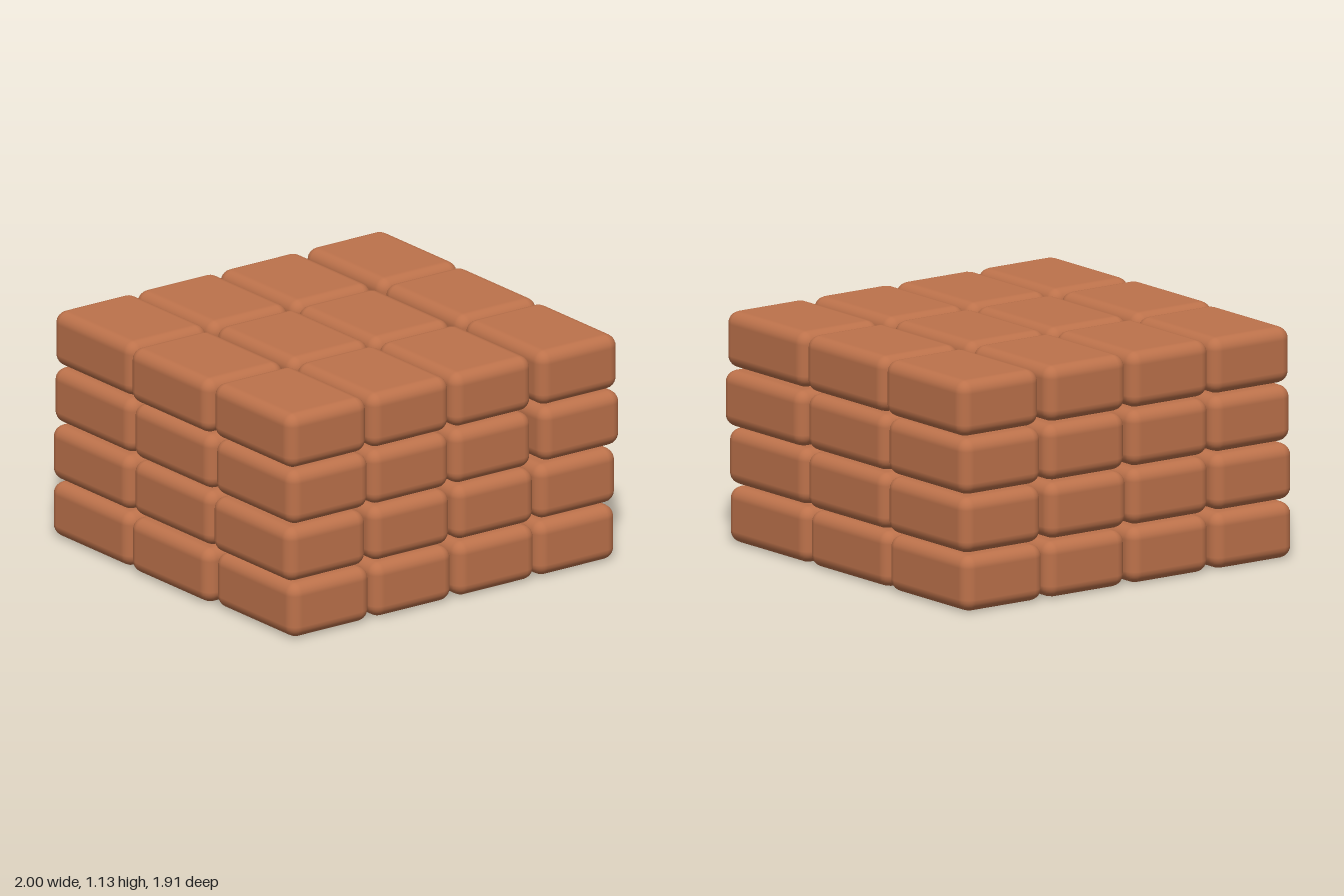
import * as THREE from 'three';
import { RoundedBoxGeometry } from 'three/addons/geometries/RoundedBoxGeometry.js';

// Brick size and spacing
const WIDTH = 0.476, HEIGHT = 0.274, DEPTH = 0.63;
const LAYER_PITCH = 0.286, ROW_PITCH = 0.64;

// Slightly uneven brick centres along x: [layer from the ground][row from the front]
const CENTRES = [
  [[-0.735, -0.245, 0.25, 0.73], [-0.76, -0.25, 0.245, 0.73], [-0.75, -0.25, 0.25, 0.74]],
  [[-0.755, -0.255, 0.245, 0.735], [-0.745, -0.25, 0.24, 0.745], [-0.75, -0.25, 0.24, 0.75]],
  [[-0.74, -0.26, 0.23, 0.76], [-0.745, -0.25, 0.245, 0.745], [-0.74, -0.25, 0.25, 0.75]],
  [[-0.75, -0.26, 0.23, 0.745], [-0.762, -0.253, 0.232, 0.75], [-0.735, -0.25, 0.245, 0.762]],
];

export function createModel() {
  const model = new THREE.Group();
  model.name = 'brickStack';
  const clay = new THREE.MeshStandardMaterial({ color: 0xbd724b });
  clay.name = 'terracotta';
  const geometry = new RoundedBoxGeometry(WIDTH, HEIGHT, DEPTH, 3, 0.06);

  CENTRES.forEach((rows, layer) => {
    const course = new THREE.Group();
    course.name = `course${layer + 1}`;
    course.position.y = HEIGHT / 2 + layer * LAYER_PITCH;
    rows.forEach((centres, row) => {
      centres.forEach((x, column) => {
        const brick = new THREE.Mesh(geometry, clay);
        brick.name = `brickRow${row + 1}Column${column + 1}`;
        brick.position.set(x, 0, (1 - row) * ROW_PITCH);
        course.add(brick);
      });
    });
    model.add(course);
  });
  return model;
}
